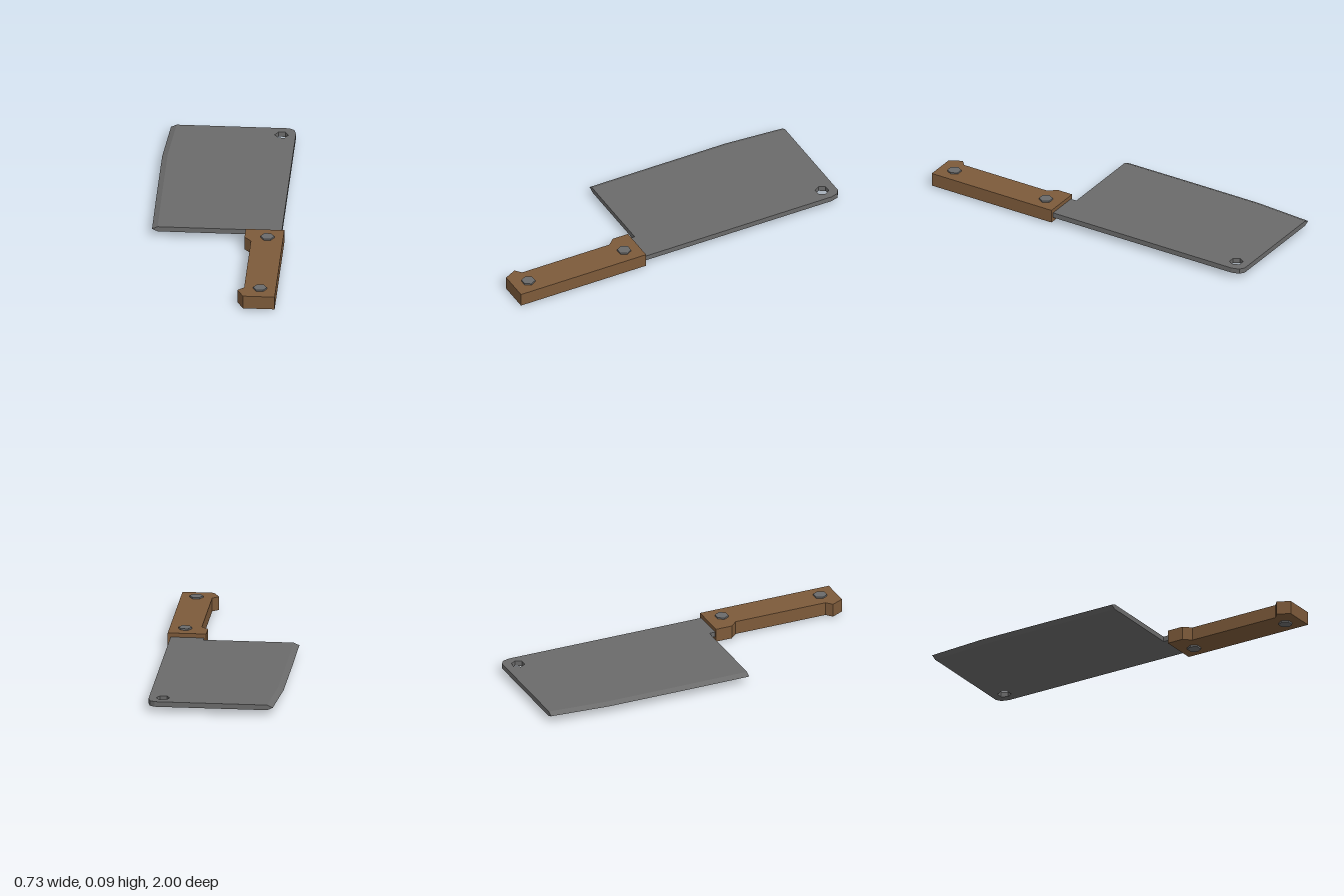
import * as THREE from 'three';

const steel = new THREE.MeshStandardMaterial({ color: 0x6b6b6b, flatShading: true });
steel.name = 'steel';
const wood = new THREE.MeshStandardMaterial({ color: 0x7d5a3a, flatShading: true });
wood.name = 'wood';

// Flat slab from an outline of [x, z] points, between two heights
function slab(outline, y0, y1, hole) {
  const toShape = ([x, z]) => new THREE.Vector2(x, -z);
  const shape = new THREE.Shape(outline.map(toShape));
  if (hole) shape.holes.push(new THREE.Path(hole.map(toShape)));
  const geo = new THREE.ExtrudeGeometry(shape, { depth: y1 - y0, bevelEnabled: false });
  geo.rotateX(-Math.PI / 2);
  geo.translate(0, y0, 0);
  return geo;
}

// Ground edge: triangular section swept along the cutting line
function bevel(edge, inset, y0, y1) {
  const mid = (y0 + y1) / 2;
  const pos = [];
  const rows = edge.map(([x, z]) => [[x + inset, y1, z], [x, mid, z], [x + inset, y0, z]]);
  for (let i = 0; i < rows.length - 1; i++) {
    const a = rows[i], b = rows[i + 1];
    for (let k = 0; k < 2; k++) {
      pos.push(...a[k], ...a[k + 1], ...b[k], ...b[k], ...a[k + 1], ...b[k + 1]);
    }
  }
  // end caps at the tip and the heel
  const tip = rows[0], heel = rows[rows.length - 1];
  pos.push(...tip[0], ...tip[2], ...tip[1], ...heel[0], ...heel[1], ...heel[2]);
  const geo = new THREE.BufferGeometry();
  geo.setAttribute('position', new THREE.Float32BufferAttribute(pos, 3));
  geo.computeVertexNormals();
  return geo;
}

export function createModel() {
  const model = new THREE.Group();
  model.name = 'cleaver';
  const add = (name, geo, mat) => {
    const mesh = new THREE.Mesh(geo, mat);
    mesh.name = name;
    model.add(mesh);
    return mesh;
  };

  // Blade with a rounded back corner, tang and hexagonal hanging hole
  const y0 = 0.034, y1 = 0.063, inset = 0.031;
  const edge = [[-0.343, -1], [-0.368, -0.66], [-0.368, -0.2], [-0.366, 0.187]];
  const hole = [];
  for (let i = 0; i < 6; i++) {
    const a = (i * Math.PI) / 3;
    hole.push([0.272 + 0.038 * Math.cos(a), -0.921 + 0.038 * Math.sin(a)]);
  }
  const body = [
    ...edge.map(([x, z]) => [x + inset, z]),
    [0.165, 0.187], [0.165, 0.3], [0.35, 0.3],
    [0.35, -0.94], [0.338, -0.982], [0.31, -1],
  ];
  add('blade', slab(body, y0, y1, hole), steel);
  add('cuttingEdge', bevel(edge, inset, y0, y1), steel);

  // Handle with a finger guard and a hooked butt
  const grip = [
    [0.153, 0.222], [0.366, 0.222], [0.366, 1], [0.191, 1],
    [0.156, 0.93], [0.191, 0.9], [0.191, 0.358], [0.153, 0.317],
  ];
  add('handle', slab(grip, 0.01, 0.086), wood);

  // Rivets passing through the handle
  for (const [name, z] of [['frontRivet', 0.313], ['rearRivet', 0.908]]) {
    const geo = new THREE.CylinderGeometry(0.038, 0.038, 0.095, 6);
    geo.rotateY(Math.PI / 6);
    add(name, geo, steel).position.set(0.279, 0.0475, z);
  }
  return model;
}
